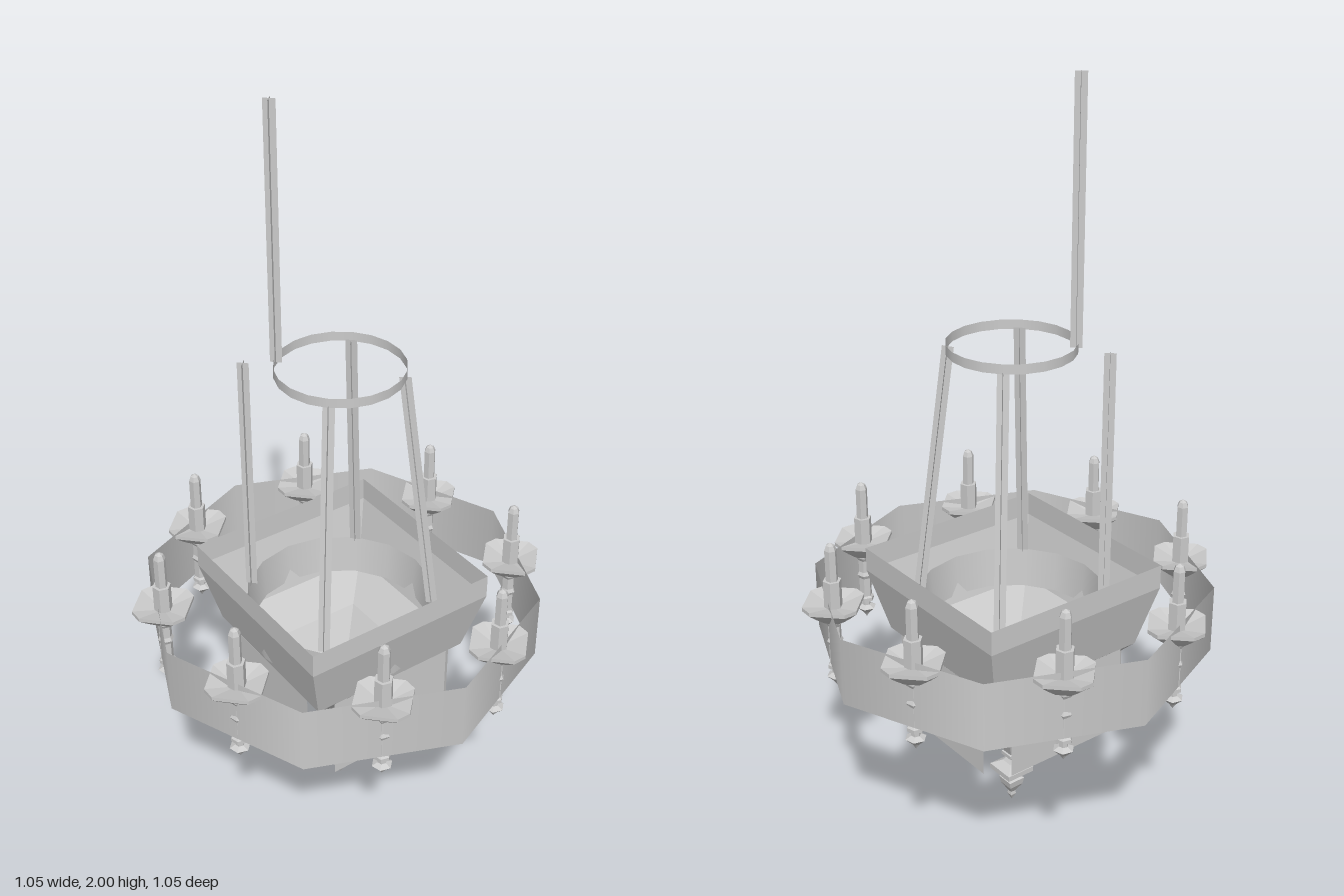
import * as THREE from 'three';

const solid = new THREE.MeshStandardMaterial({ color: 0xcccccc, side: THREE.DoubleSide });
const faceted = new THREE.MeshStandardMaterial({ color: 0xcccccc, side: THREE.DoubleSide, flatShading: true });

function add(parent, name, geometry, material = faceted) {
  const mesh = new THREE.Mesh(geometry, material);
  mesh.name = name;
  parent.add(mesh);
}

// Turned part from [radius, height] pairs, listed bottom to top
function lathe(points, sides) {
  return new THREE.LatheGeometry(points.map(([r, y]) => new THREE.Vector2(r, y)), sides);
}

// Open band between two heights
function band(rTop, rBottom, y0, y1, sides) {
  return new THREE.CylinderGeometry(rTop, rBottom, y1 - y0, sides, 1, true).translate(0, (y0 + y1) / 2, 0);
}

// Rod made of two crossed strips, running between two points
function rod(parent, name, from, to) {
  const a = new THREE.Vector3(...from), b = new THREE.Vector3(...to);
  const group = new THREE.Group();
  group.name = name;
  for (const turn of [0, Math.PI / 2]) {
    add(group, 'rodStrip', new THREE.PlaneGeometry(0.03, a.distanceTo(b)).rotateY(turn));
  }
  group.position.copy(a).lerp(b, 0.5);
  group.quaternion.setFromUnitVectors(new THREE.Vector3(0, 1, 0), b.sub(a).normalize());
  parent.add(group);
}

// Square drip pan with cut corners: an eight-sided turning whose alternate sides are widened
function dripPan() {
  const g = lathe([[0.018, 0.645], [0.035, 0.655], [0.06, 0.675], [0.083, 0.695], [0.083, 0.705], [0.02, 0.69]], 8);
  const p = g.attributes.position;
  for (let i = 0; i < p.count; i++) {
    const r = Math.hypot(p.getX(i), p.getZ(i));
    const step = Math.round(Math.atan2(p.getX(i), p.getZ(i)) / (Math.PI / 4));
    const angle = step * Math.PI / 4 + Math.PI / 8 + (step % 2 ? -0.178 : 0.178);
    p.setX(i, r * Math.sin(angle));
    p.setZ(i, r * Math.cos(angle));
  }
  return g;
}

export function createModel() {
  const model = new THREE.Group();
  model.name = 'chandelier';

  // Outer band and the small hoops
  add(model, 'outerBand', band(0.523, 0.523, 0.525, 0.71, 8), solid);
  add(model, 'upperHoop', band(0.162, 0.162, 1.33, 1.355, 20), solid);
  add(model, 'lowerHoop', band(0.25, 0.24, 0.55, 0.66, 16), solid);

  // Square rim, hopper and bottom finial are four-sided turnings
  add(model, 'squareRim', lathe([[0.325, 0.53], [0.385, 0.7], [0.385, 0.765]], 4));
  add(model, 'hopper', lathe([[0.02, 0.155], [0.045, 0.21], [0.08, 0.29], [0.135, 0.37],
    [0.215, 0.45], [0.325, 0.53]], 4));
  add(model, 'bottomFinial', lathe([[0, 0], [0.012, 0.02], [0.01, 0.03], [0.03, 0.055], [0.035, 0.075],
    [0.02, 0.082], [0.035, 0.09], [0.06, 0.1], [0.06, 0.115], [0.025, 0.13], [0.015, 0.14],
    [0.028, 0.15], [0.028, 0.16], [0.015, 0.168]], 4));

  // Hanging side panels below the rim, one on each diagonal
  for (let i = 0; i < 4; i++) {
    const panel = new THREE.PlaneGeometry(0.36, 0.24).translate(0, 0.41, 0.23);
    add(model, 'sidePanel', panel.rotateY(Math.PI / 4 + i * Math.PI / 2));
  }

  // Support rods and the hanging rod
  for (const [x, z] of [[1, 0], [0, 1], [0, -1]]) {
    rod(model, 'supportRod', [x * 0.243, 0.66, z * 0.243], [x * 0.157, 1.335, z * 0.157]);
  }
  rod(model, 'uprightRod', [-0.24, 0.66, 0], [-0.24, 1.335, 0]);
  rod(model, 'hangingRod', [-0.157, 1.345, 0], [-0.157, 2, 0]);

  // Eight candles around the band
  const pan = dripPan();
  const stem = lathe([[0, 0.455], [0.01, 0.47], [0.027, 0.487], [0.012, 0.495], [0.012, 0.505],
    [0.022, 0.51], [0.022, 0.52], [0.017, 0.525], [0.017, 0.58], [0.022, 0.59], [0.017, 0.6],
    [0.017, 0.635], [0.023, 0.645], [0.023, 0.66]], 6);
  const candle = lathe([[0.024, 0.69], [0.024, 0.765], [0.016, 0.765], [0.016, 0.85], [0.011, 0.863], [0, 0.87]], 6);
  for (let i = 0; i < 8; i++) {
    const angle = Math.PI / 8 + i * Math.PI / 4;
    const light = new THREE.Group();
    light.name = 'candleLight';
    add(light, 'dripPan', pan);
    add(light, 'stem', stem);
    add(light, 'candle', candle);
    light.position.set(0.468 * Math.sin(angle), 0, 0.468 * Math.cos(angle));
    model.add(light);
  }
  return model;
}
